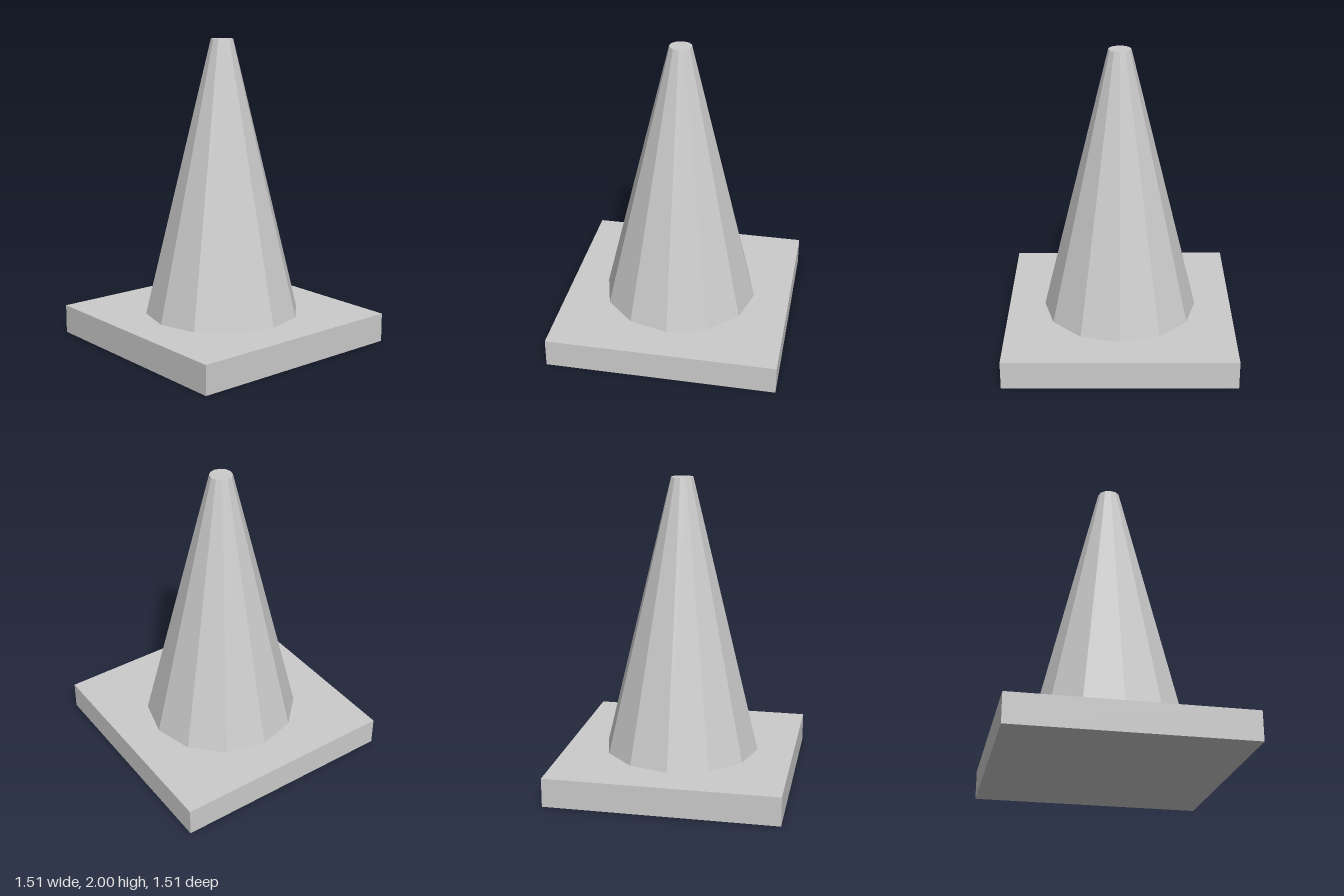
import * as THREE from 'three';

export function createModel() {
  const model = new THREE.Group();
  const grey = new THREE.MeshStandardMaterial({ color: 0xcccccc });
  grey.name = 'light grey';
  grey.flatShading = true;

  const baseWidth = 1.51, baseHeight = 0.19, totalHeight = 2;
  const coneHeight = totalHeight - baseHeight;

  // Square foot slab
  const base = new THREE.Mesh(new THREE.BoxGeometry(baseWidth, baseHeight, baseWidth), grey);
  base.name = 'base';
  base.position.y = baseHeight / 2;

  // Twelve-sided tapered body with a flat tip, standing on the slab
  const cone = new THREE.Mesh(new THREE.CylinderGeometry(0.073, 0.513, coneHeight, 12), grey);
  cone.name = 'cone';
  cone.position.y = baseHeight + coneHeight / 2;

  model.add(base, cone);
  return model;
}
